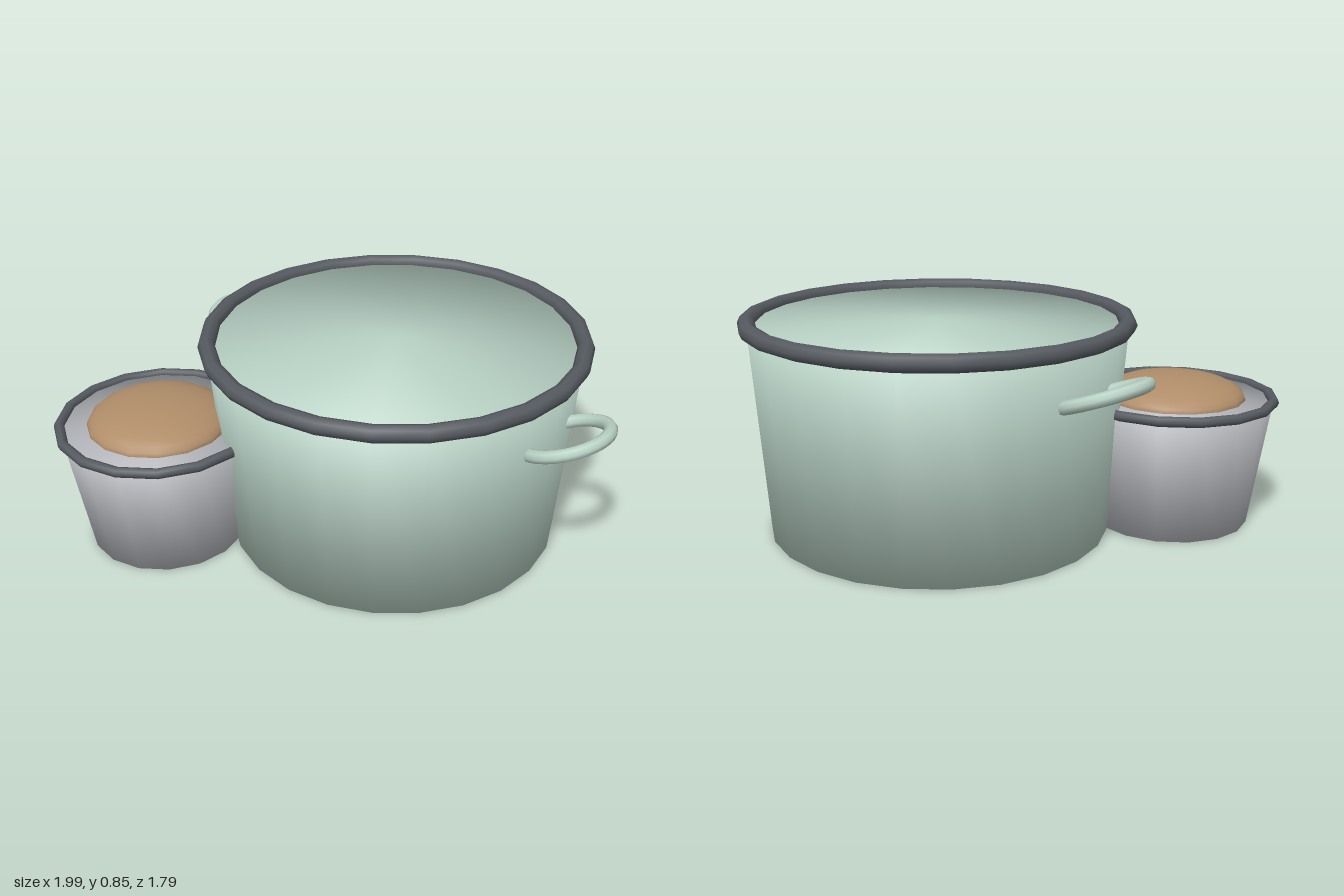
import * as THREE from 'three';

const mat = (name, color) => {
  const m = new THREE.MeshStandardMaterial({ color });
  m.name = name;
  return m;
};

export function createModel() {
  const enamel = mat('pale green enamel', 0xb9d2c6);
  const trim = mat('dark grey trim', 0x565b61);
  const metal = mat('light grey metal', 0xb6b8bd);
  const soil = mat('brown filling', 0xb08d69);

  const model = new THREE.Group();
  model.name = 'potAndBucket';

  const add = (parent, name, geometry, material) => {
    const mesh = new THREE.Mesh(geometry, material);
    mesh.name = name;
    parent.add(mesh);
    return mesh;
  };

  // Closed tapered body, softly shaded over its edges, with a rolled rim
  const vessel = (name, x, z, { bottom, top, height, ring, tube, sides, material }) => {
    const group = new THREE.Group();
    group.name = name;
    group.position.set(x, 0, z);
    model.add(group);
    const profile = [[0, 0], [bottom, 0], [top, height], [0, height]]
      .map(([r, y]) => new THREE.Vector2(r, y));
    add(group, name + 'Body', new THREE.LatheGeometry(profile, sides), material);
    const rim = new THREE.TorusGeometry(ring, tube, 8, sides).rotateX(Math.PI / 2);
    add(group, name + 'Rim', rim, trim).position.y = height;
    return group;
  };

  const pot = vessel('pot', 0.07, -0.143, {
    bottom: 0.66, top: 0.72, height: 0.812, ring: 0.717, tube: 0.033, sides: 24, material: enamel,
  });
  const bucket = vessel('bucket', -0.595, 0.49, {
    bottom: 0.31, top: 0.382, height: 0.495, ring: 0.384, tube: 0.02, sides: 16, material: metal,
  });

  // Upward-tilted loop handles whose ends curl into the pot wall
  const arc = Math.PI * 4 / 3;
  for (const side of [1, -1]) {
    const loop = new THREE.TorusGeometry(0.16, 0.025, 8, 20, arc)
      .rotateZ(-arc / 2)
      .rotateX(Math.PI / 2)
      .rotateZ(0.35);
    if (side < 0) loop.rotateY(Math.PI);
    const handle = add(pot, side > 0 ? 'leftHandle' : 'rightHandle', loop, enamel);
    handle.position.set(side * 0.752, 0.64, 0);
  }

  // Shallow domed filling
  const dome = new THREE.SphereGeometry(0.28, 16, 8, 0, Math.PI * 2, 0, Math.PI / 2)
    .scale(1, 0.32, 1);
  add(bucket, 'filling', dome, soil).position.y = 0.492;

  return model;
}
